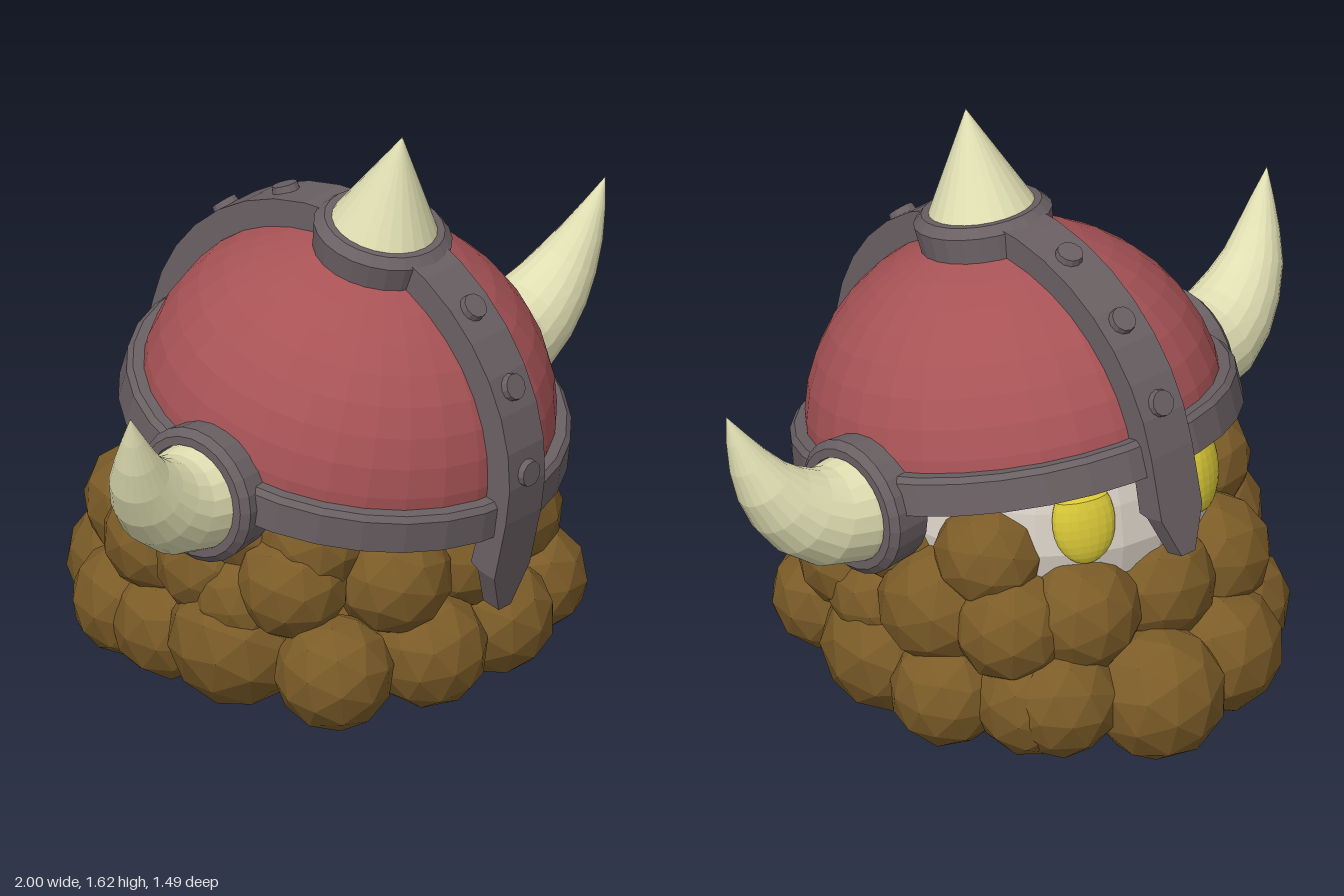
import * as THREE from 'three';

const mat = (name, color, extra = {}) => {
  const m = new THREE.MeshStandardMaterial({ color, flatShading: true, ...extra });
  m.name = name;
  return m;
};

export function createModel() {
  const model = new THREE.Group();
  model.name = 'hornedHelmetHead';

  const red = mat('helmetRed', 0xa85356, { side: THREE.DoubleSide });
  const iron = mat('iron', 0x6a6063);
  const bone = mat('bone', 0xdfdeb2);
  const brown = mat('beardBrown', 0x7c5c28);
  const skin = mat('paleSkin', 0xd8cfc4);
  const yellow = mat('eyeYellow', 0xdccb38);

  const add = (parent, name, geometry, material, pos = [0, 0, 0]) => {
    const mesh = new THREE.Mesh(geometry, material);
    mesh.name = name;
    mesh.position.set(...pos);
    parent.add(mesh);
    return mesh;
  };
  const lathe = (points, segments) =>
    new THREE.LatheGeometry(points.map(p => new THREE.Vector2(...p)), segments);
  // Hollow ring standing on y = 0, with a bevelled top edge
  const ring = (rBottom, rTop, rInner, h, bevel, segments) =>
    lathe([[rBottom, 0], [rTop, h - bevel], [rTop - bevel, h], [rInner, h], [rInner, 0], [rBottom, 0]], segments);

  // Head under the helmet, narrow where the beard hides it
  add(model, 'head', lathe([[0, 0.15], [0.3, 0.22], [0.36, 0.42], [0.46, 0.53], [0.475, 0.62],
    [0.455, 0.74], [0.42, 0.84], [0.32, 0.97], [0, 1.05]], 24), skin, [0, 0, -0.02]);

  // Eyes: rounded below, cut flat by the lid above; the face looks to -z
  const eyeProfile = [];
  for (let i = 0; i <= 10; i++) {
    const a = -Math.PI / 2 + (i / 10) * (Math.PI / 2 + 0.6);
    eyeProfile.push([Math.cos(a) * 0.09 + 1e-5, Math.sin(a) * 0.125]);
  }
  eyeProfile.push([0, 0.08]);
  for (const s of [-1, 1]) {
    const eye = add(model, s > 0 ? 'leftEye' : 'rightEye', lathe(eyeProfile, 20), yellow,
      [s * 0.212, 0.71, -0.415]);
    eye.scale.z = 0.5;
    eye.rotation.set(0.15, s * -0.42, 0);
  }

  // Beard and hair curls: x, y, z, radius
  const lowerCurls = [
    [0.14, 0.2, 0.5, 0.165], [-0.14, 0.2, 0.5, 0.165], [0.39, 0.2, 0.42, 0.155], [-0.42, 0.2, 0.4, 0.165],
    [0.45, 0.21, 0.1, 0.195], [-0.45, 0.23, 0.09, 0.2], [0.48, 0.18, -0.16, 0.16], [-0.42, 0.18, -0.18, 0.165],
    [0.35, 0.19, -0.36, 0.165], [-0.4, 0.19, -0.34, 0.165], [0.07, 0.18, -0.56, 0.19],
    [-0.2, 0.19, -0.5, 0.185], [0.31, 0.2, -0.43, 0.165]];
  const middleCurls = [
    [0.04, 0.42, 0.46, 0.16], [0.3, 0.43, 0.4, 0.16], [-0.22, 0.43, 0.44, 0.165], [-0.43, 0.43, 0.26, 0.16],
    [0.46, 0.43, 0.24, 0.155], [0.45, 0.42, -0.1, 0.175], [-0.45, 0.43, 0, 0.165], [-0.41, 0.42, -0.22, 0.165],
    [0.38, 0.41, -0.31, 0.165], [0.22, 0.43, -0.41, 0.17], [-0.04, 0.43, -0.42, 0.175], [-0.27, 0.42, -0.4, 0.17]];
  const upperCurls = [[0, 0.52, 0.42, 0.14]];
  for (const s of [-1, 1]) {
    upperCurls.push([s * 0.38, 0.595, -0.22, 0.155], [s * 0.43, 0.56, 0.07, 0.15],
      [s * 0.37, 0.54, 0.28, 0.15], [s * 0.2, 0.53, 0.4, 0.14], [s * 0.46, 0.36, 0.12, 0.15]);
  }
  const innerCurls = [[0, 0.17, 0, 0.15]];
  for (let i = 0; i < 7; i++) {
    const a = (i / 7) * Math.PI * 2;
    innerCurls.push([Math.sin(a) * 0.27, 0.19, Math.cos(a) * 0.27, 0.16]);
  }
  const beard = new THREE.Group();
  beard.name = 'beard';
  model.add(beard);
  [...lowerCurls, ...middleCurls, ...upperCurls, ...innerCurls].forEach(([x, y, z, r], i) => {
    const curl = add(beard, 'curl', new THREE.IcosahedronGeometry(r, 1), brown, [x, y, z]);
    curl.rotation.set(i * 1.3, i * 0.7, i * 2.1);
  });

  // Helmet, tipped towards +z; its origin is the middle of the rim
  const helmet = new THREE.Group();
  helmet.name = 'helmet';
  helmet.position.set(0, 0.755, 0.09);
  helmet.rotation.x = 0.225;
  model.add(helmet);

  const dome = add(helmet, 'dome',
    new THREE.SphereGeometry(1, 32, 10, 0, Math.PI * 2, 0, Math.PI / 2), red);
  dome.scale.set(0.572, 0.535, 0.575);
  add(helmet, 'rim', ring(0.622, 0.615, 0.54, 0.105, 0.015, 32), iron, [0, -0.055, 0]);

  // Arched crest strap with tapered ends, as rectangular cross-sections
  const sections = [];   // outer z, outer y, inner z, inner y, half width
  const tail = [[-0.3, 0.025, 0.588], [-0.18, 0.075, 0.585], [-0.17, 0.075, 0.557], [-0.09, 0.075, 0.56]];
  tail.forEach(([y, w, inner]) => sections.push([0.645, y, inner, y, w]));
  for (let i = 0; i <= 18; i++) {
    const a = (i / 18) * Math.PI, c = Math.cos(a), s = Math.sin(a);
    sections.push([c * 0.645, s * 0.61, c * 0.56, s * 0.52, 0.075]);
  }
  [...tail].reverse().forEach(([y, w, inner]) => sections.push([-0.645, y, -inner, y, w]));
  const verts = [], index = [];
  sections.forEach(([oz, oy, iz, iy, w], i) => {
    verts.push(w, oy, oz, -w, oy, oz, -w, iy, iz, w, iy, iz);
    if (i === sections.length - 1) return;
    for (let k = 0; k < 4; k++) {
      const a = i * 4 + k, b = i * 4 + (k + 1) % 4;
      index.push(a, a + 4, b + 4, a, b + 4, b);
    }
  });
  const e = (sections.length - 1) * 4;
  index.push(0, 1, 2, 0, 2, 3, e, e + 2, e + 1, e, e + 3, e + 2);
  const strap = new THREE.BufferGeometry();
  strap.setAttribute('position', new THREE.Float32BufferAttribute(verts, 3));
  strap.setIndex(index);
  strap.computeVertexNormals();
  add(helmet, 'crestStrap', strap, iron);

  // Rivets along the strap
  for (const s of [-1, 1]) {
    for (const deg of [13, 36, 58]) {
      const a = THREE.MathUtils.degToRad(deg);
      const rivet = add(helmet, 'rivet', new THREE.CylinderGeometry(0.036, 0.042, 0.04, 12), iron,
        [0, Math.sin(a) * 0.608, s * Math.cos(a) * 0.64]);
      rivet.rotation.x = s * (Math.PI / 2 - a);
    }
  }

  // Top spike filling its collar
  add(helmet, 'spikeCollar', ring(0.182, 0.192, 0.145, 0.105, 0.025, 24), iron, [0, 0.5, 0]);
  add(helmet, 'spike', new THREE.ConeGeometry(0.185, 0.36, 24), bone, [0, 0.71, 0]);

  // Side horns: curved tubes thinning to a point, each in a collar
  for (const s of [-1, 1]) {
    const side = s > 0 ? 'left' : 'right';
    const collar = add(model, side + 'HornCollar', ring(0.185, 0.195, 0.15, 0.13, 0.02, 24), iron,
      [s * 0.507, 0.705, 0.075]);
    collar.rotation.z = -s * Math.PI / 2;

    const curve = new THREE.CatmullRomCurve3([
      [0.56, 0.7, 0.075], [0.72, 0.715, 0.08], [0.82, 0.775, 0.095],
      [0.9, 0.865, 0.115], [0.95, 0.965, 0.14], [1, 1.1, 0.165],
    ].map(([x, y, z]) => new THREE.Vector3(s * x, y, z)));
    const rings = 8, sides = 20;
    const horn = new THREE.TubeGeometry(curve, rings, 1, sides);
    const p = horn.attributes.position, v = new THREE.Vector3();
    for (let i = 0; i < p.count; i++) {
      const u = Math.floor(i / (sides + 1)) / rings;
      const c = curve.getPointAt(u);
      v.fromBufferAttribute(p, i).sub(c).multiplyScalar(0.152 * (1 - u ** 1.7)).add(c);
      p.setXYZ(i, v.x, v.y, v.z);
    }
    horn.computeVertexNormals();
    add(model, side + 'Horn', horn, bone);
  }
  return model;
}
